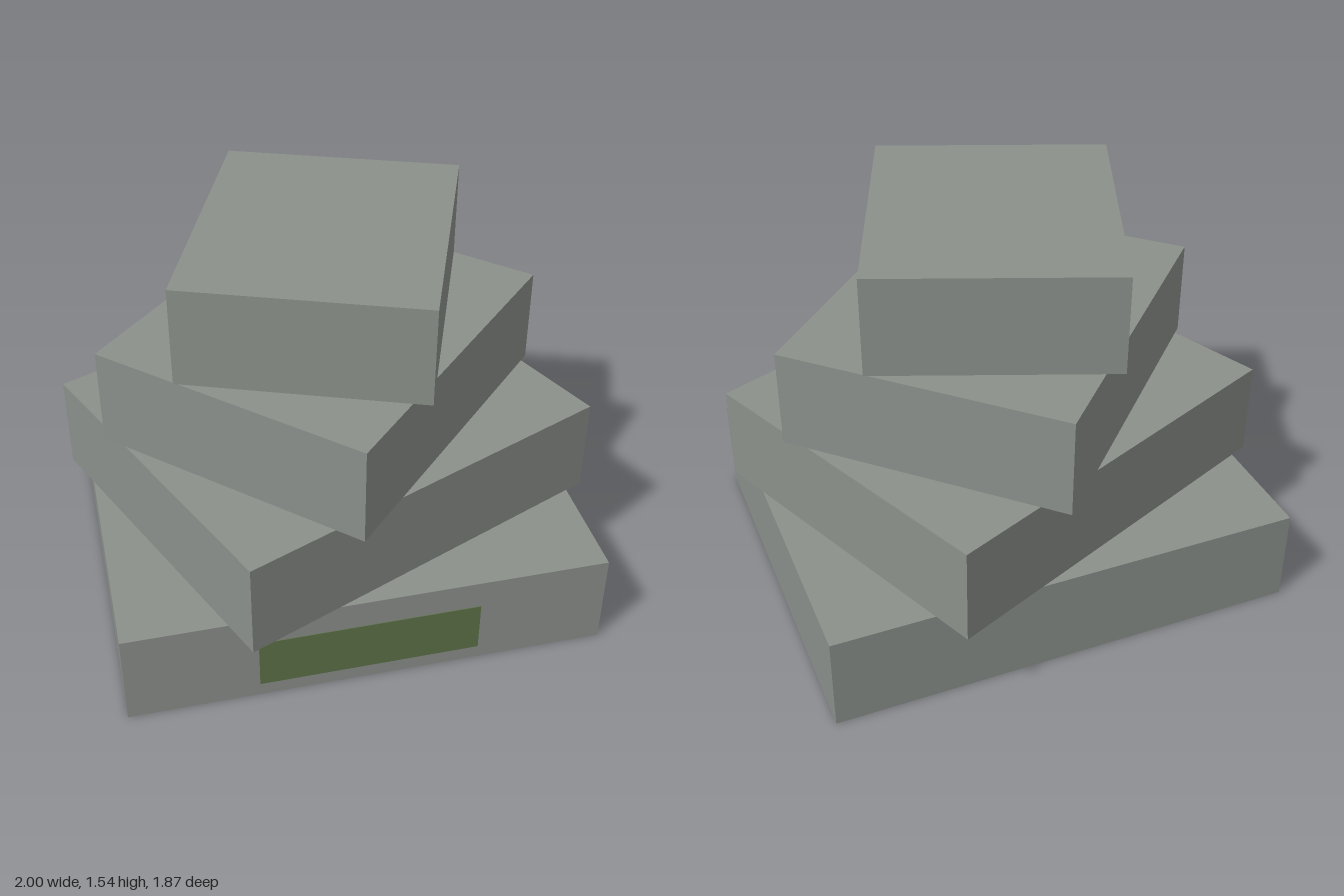
import * as THREE from 'three';

export function createModel() {
  const model = new THREE.Group();
  const stone = new THREE.MeshStandardMaterial({ color: 0x8b908b });
  stone.name = 'grey stone';
  const moss = new THREE.MeshStandardMaterial({ color: 0x5f724a });
  moss.name = 'moss green';

  // Four stacked slabs, each smaller and turned further than the one below
  const height = 0.385;
  for (let i = 0; i < 4; i++) {
    const slab = new THREE.Mesh(
      new THREE.BoxGeometry(1.857 - 0.26 * i, height, 1.57 - 0.2175 * i), stone);
    slab.name = `slab${i + 1}`;
    slab.position.y = height * (i + 0.5);
    slab.rotation.y = 0.4 * i;
    model.add(slab);
  }

  // Thin moss patch on the front of the bottom slab
  const patch = new THREE.Mesh(new THREE.BoxGeometry(0.854, 0.212, 0.004), moss);
  patch.name = 'mossPatch';
  patch.position.set(0, 0.163, 0.786);
  model.add(patch);

  return model;
}
